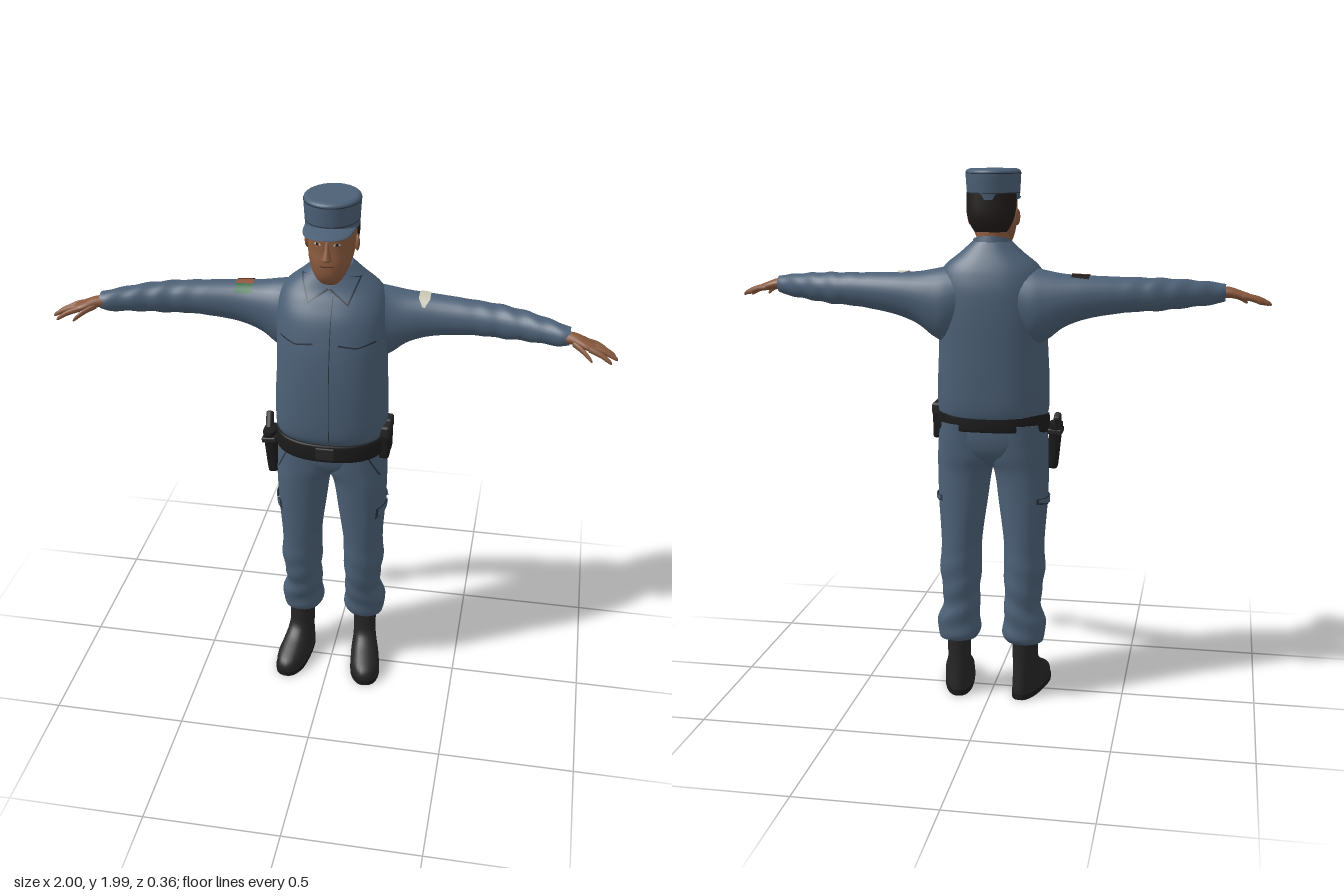
import * as THREE from 'three';
import { RoundedBoxGeometry } from 'three/addons/geometries/RoundedBoxGeometry.js';

const paint = (name, color) => new THREE.MeshStandardMaterial({ name, color, side: THREE.DoubleSide });

// Section row: [t, aLow, aHigh, bLow, bHigh]; axis 'y' uses a = x, b = z; axis 'x' uses a = y, b = z.
function blend(table, i, f) {
  const row = (k) => table[Math.min(Math.max(k, 0), table.length - 1)];
  return table[0].map((_, c) => {
    const [p, q, r, s] = [row(i - 1)[c], row(i)[c], row(i + 1)[c], row(i + 2)[c]];
    const m = (r - p) / 2, n = (s - q) / 2;
    return q + f * (m + f * (3 * (r - q) - 2 * m - n + f * (2 * (q - r) + m + n)));
  });
}

// Smooth skin through the sections, with flat end caps.
function loft(axis, table, { segs = 28, steps = 4, pow = 1, fold = null } = {}) {
  const pos = [], idx = [], count = (table.length - 1) * steps + 1;
  const bend = (v) => Math.sign(v) * Math.abs(v) ** pow;
  const ring = (k) => {
    const i = Math.min(Math.floor(k / steps), table.length - 2);
    const [t, a0, a1, b0, b1] = blend(table, i, k / steps - i);
    for (let s = 0; s < segs; s++) {
      const w = (s / segs) * Math.PI * 2;
      const g = 1 + (fold ? fold(t, w) : 0);
      const a = (a0 + a1) / 2 + ((a1 - a0) / 2) * bend(Math.cos(w)) * g;
      const d = ((b1 - b0) / 2) * bend(Math.sin(w)) * g, mid = (b0 + b1) / 2;
      if (axis === 'y') pos.push(a, t, mid + d);
      else pos.push(t, a, mid - d);
    }
    return [t, (a0 + a1) / 2, (b0 + b1) / 2];
  };
  for (let k = 0; k < count; k++) ring(k);
  for (let k = 0; k < count - 1; k++) for (let s = 0; s < segs; s++) {
    const n = (s + 1) % segs, a = k * segs, b = a + segs;
    idx.push(a + s, b + s, a + n, a + n, b + s, b + n);
  }
  for (const k of [0, count - 1]) {
    const base = pos.length / 3, [t, a, b] = ring(k);
    pos.push(...(axis === 'y' ? [a, t, b] : [t, a, b]));
    for (let s = 0; s < segs; s++) {
      const n = base + ((s + 1) % segs);
      idx.push(base + segs, ...(k ? [n, base + s] : [base + s, n]));
    }
  }
  return finish(pos, idx);
}

function finish(pos, idx) {
  const g = new THREE.BufferGeometry();
  g.setAttribute('position', new THREE.Float32BufferAttribute(pos, 3));
  g.setIndex(idx);
  g.computeVertexNormals();
  return g;
}

// Height of a lofted skin at t: give one cross coordinate, get the outer value of the other.
function skin(table, t, v, given, pow = 1) {
  let i = 0;
  while (i < table.length - 2 && table[i + 1][0] < t) i++;
  let lo = 0, hi = 1;
  for (let n = 0; n < 20; n++) {
    const m = (lo + hi) / 2;
    if (blend(table, i, m)[0] < t) lo = m; else hi = m;
  }
  const r = blend(table, i, lo), [g, o] = given === 'a' ? [1, 3] : [3, 1];
  const u = Math.min(1, Math.abs((v - (r[g] + r[g + 1]) / 2) / ((r[g + 1] - r[g]) / 2)));
  return (r[o] + r[o + 1]) / 2 + ((r[o + 1] - r[o]) / 2) * (1 - u ** (2 / pow)) ** (pow / 2);
}

// Thin patch laid over a surface; corners are [u, v] in order around the patch.
function plate(map, [A, B, C, D], n = 8) {
  const pos = [], idx = [], mix = (p, q, f) => p + (q - p) * f;
  for (let i = 0; i <= n; i++) for (let j = 0; j <= n; j++) {
    const uv = [0, 1].map((c) => mix(mix(A[c], B[c], i / n), mix(D[c], C[c], i / n), j / n));
    pos.push(...map(...uv));
    if (i < n && j < n) {
      const k = i * (n + 1) + j;
      idx.push(k, k + n + 1, k + 1, k + 1, k + n + 1, k + n + 2);
    }
  }
  return finish(pos, idx);
}

function mirrored(geo) {
  const g = geo.clone().scale(-1, 1, 1), ix = g.index.array;
  for (let i = 0; i < ix.length; i += 3) [ix[i], ix[i + 1]] = [ix[i + 1], ix[i]];
  return g;
}

function shift(geo, rule) {
  const p = geo.attributes.position;
  for (let i = 0; i < p.count; i++) p.setXYZ(i, ...rule(p.getX(i), p.getY(i), p.getZ(i)));
  geo.computeVertexNormals();
  return geo;
}

const torso = [[1.075, -.19, .19, -.15, .125], [1.1, -.203, .203, -.163, .142], [1.15, -.207, .207, -.172, .15],
  [1.25, -.205, .205, -.177, .152], [1.35, -.2, .2, -.18, .148], [1.45, -.2, .2, -.182, .135], [1.55, -.2, .2, -.178, .11],
  [1.61, -.19, .19, -.165, .078], [1.65, -.165, .165, -.15, .052], [1.69, -.115, .115, -.13, .035], [1.73, -.07, .07, -.11, .02]];
const arm = [[.1, 1.4, 1.65, -.16, .04], [.16, 1.365, 1.64, -.17, .035], [.21, 1.385, 1.63, -.165, .015], [.27, 1.43, 1.62, -.155, .002],
  [.36, 1.463, 1.615, -.14, -.005], [.5, 1.485, 1.61, -.115, .005], [.6, 1.49, 1.607, -.095, .02], [.7, 1.5, 1.6, -.06, .045],
  [.8, 1.51, 1.588, -.01, .075], [.835, 1.52, 1.582, .01, .077]];
const leg = [[.225, .055, .2, -.13, .01], [.25, .045, .207, -.14, .02], [.3, .047, .205, -.14, .03], [.36, .05, .187, -.14, .045],
  [.42, .05, .19, -.14, .06], [.5, .045, .2, -.14, .073], [.6, .045, .195, -.135, .08], [.75, .025, .205, -.13, .09],
  [.88, .005, .209, -.13, .1], [.95, -.03, .208, -.14, .105], [1.07, -.03, .2, -.15, .11]];
const head = [[1.682, -.028, .028, .01, .06], [1.7, -.045, .045, -.02, .082], [1.73, -.062, .062, -.05, .095], [1.77, -.076, .076, -.085, .096],
  [1.81, -.082, .082, -.11, .09], [1.86, -.085, .085, -.118, .088], [1.92, -.08, .08, -.11, .08]];

export function createModel() {
  const root = new THREE.Group();
  const cloth = paint('uniform blue', 0x4c6076), seam = paint('seam dark blue', 0x28333f), flesh = paint('skin', 0x8a5a3e);
  const lip = paint('brick brown', 0x91553c), hairMat = paint('dark hair', 0x1f1b19), leather = paint('boot black', 0x262626);
  const webbing = paint('belt black', 0x1b1b1c), green = paint('patch green', 0x14643a), cream = paint('patch cream', 0xc8c6b4);
  const add = (name, geo, mat) => {
    const m = new THREE.Mesh(geo, mat);
    m.name = name;
    root.add(m);
    return m;
  };
  const pair = (name, geo, mat) => {
    add('left ' + name, geo, mat);
    add('right ' + name, mirrored(geo), mat);
  };
  const chest = (lift) => (x, y) => [x, y, skin(torso, y, x, 'a', .85) + lift];
  const face = (lift) => (x, y) => [x, y, skin(head, y, x, 'a', .9) + lift];
  const thigh = (lift) => (z, y) => [skin(leg, y, z, 'b', .9) + lift, y, z];
  const thighFront = (x, y) => [x, y, skin(leg, y, x, 'a', .9) + .003];
  const sleeveTop = (side) => (x, z) => [x * side, skin(arm, x, z, 'b') + .004, z];

  // Shirt
  add('shirt', loft('y', torso, { pow: .85, segs: 40 }), cloth);
  pair('sleeve', loft('x', arm, { steps: 8, fold: (t, w) => t > .42 ? .035 * Math.sin(t * 75 + 2 * Math.sin(w)) * Math.min(1, (t - .42) * 5) : 0 }), cloth);
  const tilt = (x, y, z) => [x, y - .28 * (z + .1), z];
  add('collar band', shift(loft('y', [[1.68, -.085, .085, -.118, .045], [1.72, -.077, .077, -.112, .04], [1.75, -.07, .07, -.106, .036]]), tilt), cloth);
  pair('collar edge', plate(chest(.006), [[0, 1.66], [.072, 1.613], [.106, 1.695], [.04, 1.71]]), seam);
  pair('collar flap', plate(chest(.009), [[.004, 1.667], [.069, 1.621], [.1, 1.695], [.04, 1.712]]), cloth);
  pair('pocket flap inner line', plate(chest(.003), [[.045, 1.481], [.11, 1.471], [.11, 1.476], [.045, 1.487]]), seam);
  pair('pocket flap outer line', plate(chest(.003), [[.11, 1.471], [.172, 1.484], [.172, 1.49], [.11, 1.476]]), seam);
  add('front placket line', plate(chest(.002), [[.014, 1.1], [.017, 1.1], [.017, 1.64], [.014, 1.64]], 16), seam);

  // Shoulder patches
  [[hairMat, -.112], [lip, -.081], [green, -.05]].forEach(([mat, z], i) =>
    add('flag band ' + (i + 1), plate(sleeveTop(-1), [[.295, z], [.358, z], [.358, z + .031], [.295, z + .031]]), mat));
  add('sleeve badge', plate(sleeveTop(1), [[.303, -.085], [.343, -.085], [.343, -.04], [.303, -.04]]), cream);
  add('sleeve badge point', plate(sleeveTop(1), [[.303, -.04], [.343, -.04], [.328, -.018], [.318, -.018]]), cream);
  add('sleeve badge crown', plate(sleeveTop(1), [[.315, -.097], [.332, -.097], [.343, -.085], [.303, -.085]]), cream);

  // Hands
  pair('palm', loft('x', [[.81, 1.53, 1.572, .03, .075], [.85, 1.53, 1.57, .028, .088], [.89, 1.523, 1.556, .03, .106], [.92, 1.52, 1.545, .04, .11]], { segs: 16 }), flesh);
  for (const [name, x, y, z, x2, y2, z2] of [['little finger', .89, 1.537, .04, .965, 1.512, .05], ['ring finger', .9, 1.537, .06, .992, 1.505, .076],
    ['middle finger', .9, 1.536, .08, 1, 1.503, .1], ['index finger', .9, 1.534, .098, .98, 1.5, .127], ['thumb', .845, 1.542, .078, .915, 1.505, .137]]) {
    const rows = [[0, .011], [.5, .0105], [.9, .008], [1, .002]].map(([f, r]) => {
      const cy = y + (y2 - y) * f + .012 * f * (1 - f) * 2, cz = z + (z2 - z) * f;
      return [x + (x2 - x) * f, cy - r, cy + r, cz - r, cz + r];
    });
    pair(name, loft('x', rows, { segs: 10, steps: 3 }), flesh);
  }

  // Trousers
  add('trouser seat', loft('y', [[.9, -.04, .04, -.08, .04], [.95, -.16, .16, -.135, .095], [1.01, -.2, .2, -.152, .112], [1.08, -.195, .195, -.152, .118]], { pow: .85 }), cloth);
  pair('trouser leg', loft('y', leg, { pow: .9, steps: 7, fold: (t, w) => t < .62 ? .03 * Math.sin(t * 62 + 2 * Math.cos(w)) * Math.min(1, (.62 - t) * 4) : 0 }), cloth);
  pair('cargo pocket edge', plate(thigh(.004), [[.066, .735], [-.108, .77], [-.108, .79], [.066, .782]]), seam);
  pair('cargo pocket flap', plate(thigh(.008), [[.061, .742], [-.104, .776], [-.104, .788], [.061, .78]]), cloth);
  pair('slash pocket line', plate(thighFront, [[.15, 1.02], [.155, 1.02], [.195, .93], [.19, .93]]), seam);

  // Boots: widened at the toe and turned out
  const turnOut = (g) => shift(g, (x, y, z) => [x * (1 + 1.1 * Math.max(-.12, Math.min(.1, z))), y, z])
    .translate(0, 0, .06).rotateY(.17).translate(.127, 0, -.06);
  pair('boot', turnOut(loft('y', [[.012, -.053, .053, -.127, .165], [.035, -.055, .055, -.128, .167], [.06, -.054, .054, -.126, .15], [.085, -.05, .05, -.124, .105],
    [.115, -.047, .047, -.122, .05], [.155, -.046, .046, -.12, .017], [.24, -.049, .049, -.12, .01]], { pow: .85 })), leather);
  pair('boot sole', turnOut(loft('y', [[0, -.056, .056, -.13, .17], [.022, -.056, .056, -.13, .17]], { pow: .8, steps: 1 })), webbing);

  // Belt and gear
  const slope = (x, y, z) => [x, y - .12 * z, z];
  add('belt', shift(loft('y', [[1.028, -.2, .2, -.154, .13], [1.034, -.208, .208, -.161, .139], [1.09, -.208, .208, -.161, .139], [1.096, -.2, .2, -.154, .13]], { pow: .85, segs: 40 }), slope), webbing);
  add('buckle', new RoundedBoxGeometry(.07, .05, .012, 2, .005).translate(0, 1.047, .139), leather);
  for (const z of [.027, -.034]) {
    add('belt pouch', new RoundedBoxGeometry(.04, .125, .056, 3, .012).translate(.203, 1.06, z), webbing);
    add('pouch flap', new RoundedBoxGeometry(.046, .05, .06, 3, .012).translate(.203, 1.108, z), leather);
  }
  const holster = new THREE.Group();
  holster.name = 'holster';
  holster.position.set(-.228, 1.0, .01);
  holster.rotation.z = .08;
  root.add(holster);
  holster.add(add('holster body', loft('y', [[-.11, -.015, .015, -.025, .025], [-.1, -.02, .02, -.03, .03], [0, -.022, .022, -.036, .036], [.06, -.024, .024, -.045, .04]], { pow: .6 }), webbing));
  holster.add(add('holster strap', new RoundedBoxGeometry(.054, .022, .084, 2, .006).translate(0, .03, 0), leather));
  holster.add(add('pistol grip', new RoundedBoxGeometry(.026, .09, .038, 2, .01).rotateX(-.6).translate(-.008, .065, -.035), leather));

  // Head
  add('neck', loft('y', [[1.62, -.065, .065, -.105, .03], [1.7, -.058, .058, -.098, .022], [1.79, -.06, .06, -.095, .03]]), flesh);
  add('head', loft('y', head, { pow: .9, segs: 36 }), flesh);
  add('nose', loft('y', [[1.78, -.012, .012, .075, .1], [1.787, -.018, .018, .075, .115], [1.8, -.014, .014, .07, .112], [1.825, -.009, .009, .07, .1], [1.85, -.008, .008, .07, .089]], { segs: 14 }), flesh);
  pair('ear', new THREE.SphereGeometry(1, 14, 10).scale(.009, .03, .019).rotateY(.3).translate(.086, 1.815, -.018), flesh);
  pair('eye', plate(face(.002), [[.02, 1.836], [.047, 1.837], [.042, 1.844], [.025, 1.844]]), cream);
  pair('iris', plate(face(.003), [[.029, 1.836], [.039, 1.836], [.039, 1.844], [.029, 1.844]]), hairMat);
  pair('eyebrow', plate(face(.003), [[.016, 1.857], [.055, 1.857], [.05, 1.863], [.018, 1.862]]), hairMat);
  add('lips', plate(face(.003), [[-.024, 1.76], [.024, 1.76], [.016, 1.768], [-.016, 1.768]]), lip);
  add('mouth line', plate(face(.004), [[-.025, 1.762], [.025, 1.762], [.025, 1.764], [-.025, 1.764]]), hairMat);
  add('hair', loft('y', [[1.765, -.058, .058, -.108, -.04], [1.79, -.074, .074, -.12, -.025], [1.83, -.087, .087, -.127, -.008], [1.9, -.09, .09, -.126, .03]], { pow: .85 }), hairMat);

  // Cap
  add('cap crown', loft('y', [[1.878, -.093, .093, -.127, .09], [1.9, -.095, .095, -.129, .092], [1.962, -.099, .099, -.135, .095], [1.978, -.097, .097, -.133, .093], [1.985, -.085, .085, -.12, .08]], { segs: 40 }), cloth);
  for (const y of [1.9, 1.968]) {
    const r = y > 1.95 ? .1 : .0958;
    add('cap seam', loft('y', [[y, -r, r, -r - .036, r - .003], [y + .003, -r, r, -r - .036, r - .003]], { segs: 40, steps: 1 }), seam);
  }
  const brim = [];
  for (let i = -8; i <= 8; i++) {
    const x = .088 * Math.sin((i / 8) * Math.PI / 2), y = 1.902 - 2.2 * x * x;
    brim.push([x, y - .006, y, .02, .03 + .148 * Math.cos((i / 8) * Math.PI / 2) ** .8]);
  }
  add('cap brim', shift(loft('x', brim, { segs: 24, steps: 1, pow: .8 }), (x, y, z) => [x, y - .1 * Math.max(0, z - .06), z]), cloth);
  return root;
}
